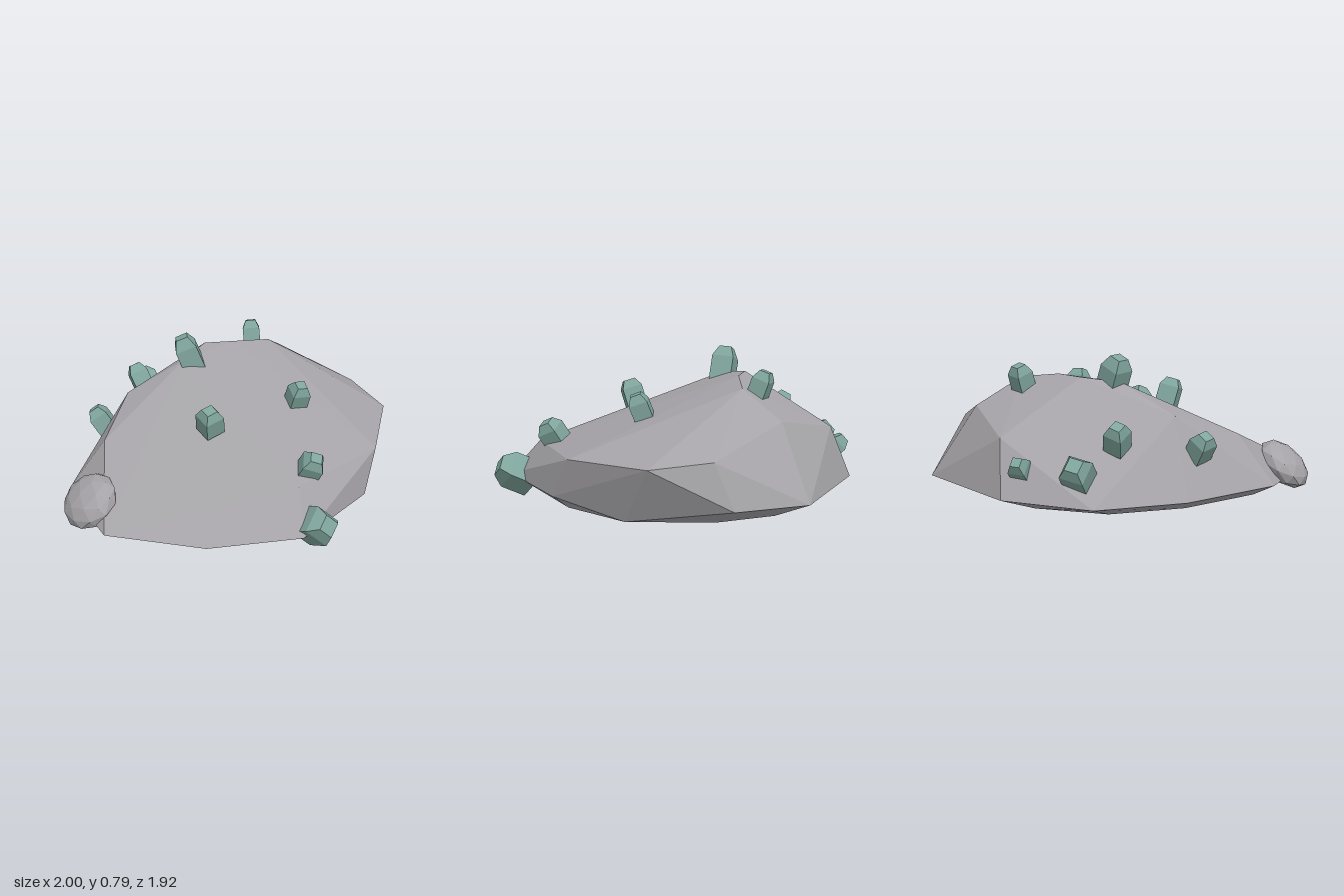
import * as THREE from 'three';
import { ConvexGeometry } from 'three/addons/geometries/ConvexGeometry.js';

const rockGrey = new THREE.MeshStandardMaterial({ color: 0xa5a3a7, flatShading: true });
rockGrey.name = 'rockGrey';
const crystalGreen = new THREE.MeshStandardMaterial({ color: 0x7fa59c, flatShading: true });
crystalGreen.name = 'crystalGreen';

// faceted boulder: flat base, flared rim, shoulders and an off-centre summit
function boulder() {
  const base = [
    [-0.77, 0.04, 0.27], [-0.45, 0.035, 0.58], [0, 0.03, 0.7], [0.4, 0.03, 0.6], [0.72, 0.03, 0.35],
    [0.81, 0.03, -0.1], [0.74, 0.03, -0.42], [0.3, 0.025, -0.66], [-0.1, 0.025, -0.66],
    [-0.45, 0.03, -0.45], [-0.74, 0.04, -0.12],
  ];
  const rim = [
    [-0.1, 0.11, -0.91], [0.38, 0.13, -0.93], [0.93, 0.13, -0.55], [1, 0.13, -0.15], [0.46, 0.11, 0.69],
    [0.11, 0.11, 0.8], [-0.08, 0.11, 0.87], [-0.55, 0.11, 0.68], [-0.93, 0.12, 0.3],
    [-0.87, 0.12, -0.21], [-0.5, 0.1, -0.6],
  ];
  const shoulder = [
    [0.92, 0.34, 0.27], [0.94, 0.37, -0.06], [0.58, 0.33, 0.62], [0, 0.31, 0.71],
    [0.43, 0.42, -0.8], [0.7, 0.51, -0.46], [-0.66, 0.38, -0.17], [-0.38, 0.5, -0.4],
  ];
  const summit = [[0.13, 0.68, -0.4], [0.5, 0.65, -0.3], [-0.06, 0.65, -0.32], [0.28, 0.68, -0.33]];
  const points = [...base, ...rim, ...shoulder, ...summit].map((p) => new THREE.Vector3(...p));
  const mesh = new THREE.Mesh(new ConvexGeometry(points), rockGrey);
  mesh.name = 'boulder';
  return mesh;
}

// small stone half sunk into the boulder's right side
function sideStone() {
  const mesh = new THREE.Mesh(new THREE.IcosahedronGeometry(1, 1), rockGrey);
  mesh.name = 'sideStone';
  mesh.scale.set(0.16, 0.085, 0.175);
  mesh.rotation.z = 0.72;
  mesh.position.set(-0.873, 0.18, 0.045);
  return mesh;
}

// square prism with a bevelled cap, centred on its own middle and pointing up
const crystalGeometry = new THREE.LatheGeometry(
  [[0, -1], [1.41, -1], [1.41, 0.4], [0.8, 1], [0, 1]].map(([x, y]) => new THREE.Vector2(x, y)), 4);

function crystal([x, y, z, width, length, dx, dy, dz, roll]) {
  const mesh = new THREE.Mesh(crystalGeometry, crystalGreen);
  mesh.name = 'crystal';
  mesh.position.set(x, y, z);
  mesh.scale.set(width, length, width);
  mesh.quaternion.setFromUnitVectors(new THREE.Vector3(0, 1, 0), new THREE.Vector3(dx, dy, dz).normalize());
  mesh.rotateY(roll);
  return mesh;
}

export function createModel() {
  const model = new THREE.Group();
  model.name = 'crystalRock';
  model.add(boulder(), sideStone());

  // x, y, z, half width, half length, axis, roll about the axis
  const crystals = [
    [-0.03, 0.69, -0.32, 0.06, 0.1, -0.3, 0.9, -0.2, 0.3],
    [0.46, 0.66, -0.41, 0.048, 0.075, 0.1, 0.9, -0.3, 0.2],
    [-0.2, 0.52, 0.17, 0.055, 0.075, -0.2, 0.9, 0.25, 0.8],
    [0.35, 0.54, 0.21, 0.05, 0.075, 0, 0.9, 0.35, 0.55],
    [0.12, 0.37, 0.65, 0.055, 0.075, 0.05, 0.8, 0.5, 0.2],
    [0.02, 0.14, 0.85, 0.075, 0.1, 0.05, 0.4, 0.85, 0],
    [0, 0.28, -0.86, 0.065, 0.085, -0.05, 0.6, -0.7, 0.6],
    [0.3, 0.28, -0.86, 0.045, 0.075, 0, 0.6, -0.7, 0.7],
    [-0.15, 0.43, -0.67, 0.052, 0.08, -0.15, 0.8, -0.5, 0.5],
    [-0.53, 0.36, -0.44, 0.052, 0.075, -0.4, 0.8, -0.4, 0.3],
  ];
  const cluster = new THREE.Group();
  cluster.name = 'crystals';
  crystals.forEach((c) => cluster.add(crystal(c)));
  model.add(cluster);
  return model;
}
